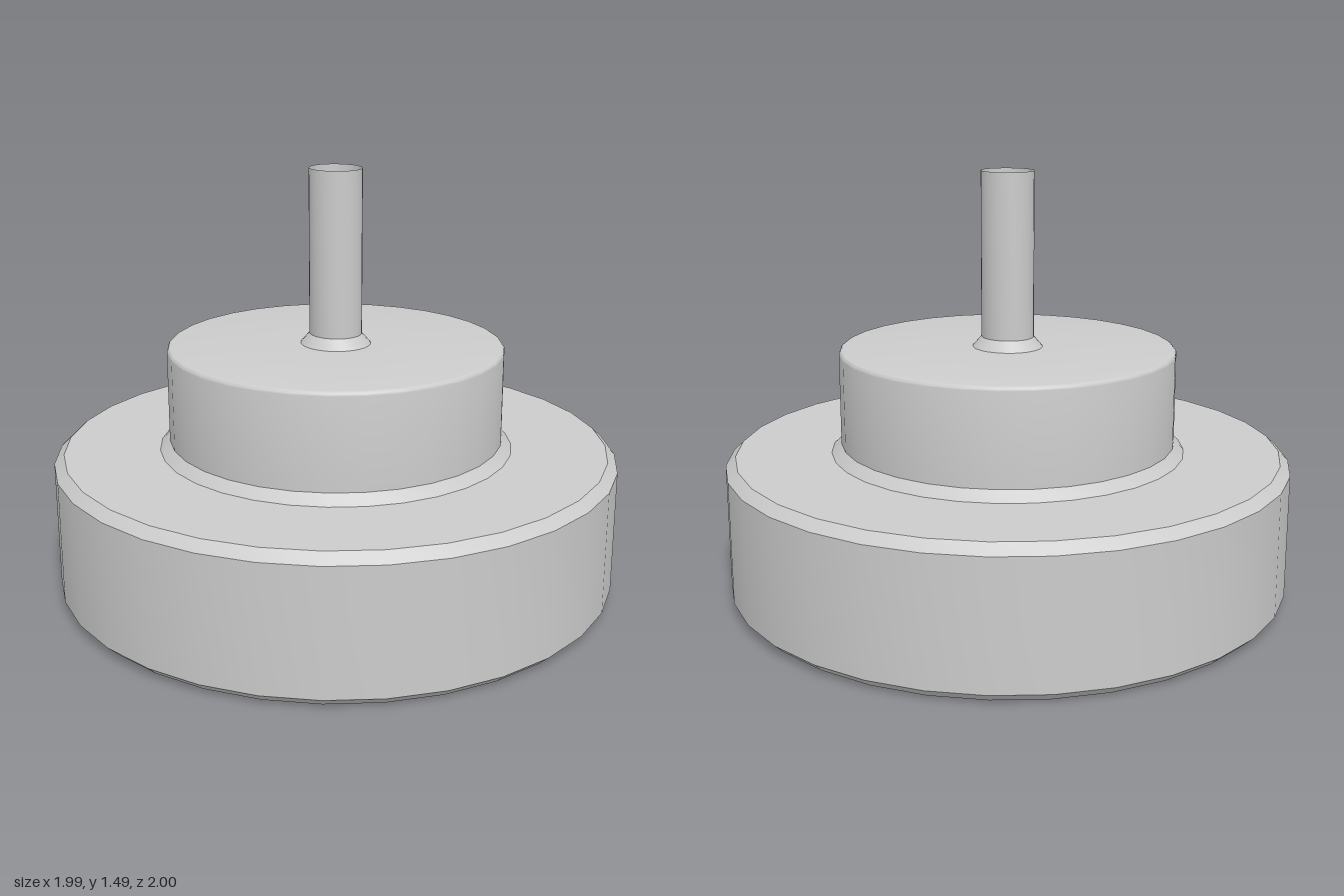
import * as THREE from 'three';
import { toCreasedNormals } from 'three/addons/utils/BufferGeometryUtils.js';

const SIDES = 32;
const material = new THREE.MeshStandardMaterial({ color: 0xcccccc, side: THREE.DoubleSide });

// Turned part from [radius, height] points, very slightly narrower across x than z
function turned(name, profile) {
  const geometry = new THREE.LatheGeometry(profile.map(([r, y]) => new THREE.Vector2(r, y)), SIDES);
  const pos = geometry.attributes.position;
  for (let i = 0; i < pos.count; i++) {
    const r = Math.hypot(pos.getX(i), pos.getZ(i));
    if (r > 0.01) pos.setX(i, pos.getX(i) * (r - 0.005) / r);
  }
  const mesh = new THREE.Mesh(toCreasedNormals(geometry, 0.5), material);
  mesh.name = name;
  return mesh;
}

export function createModel() {
  const model = new THREE.Group();
  model.name = 'steppedKnob';

  // Wide base with chamfered rims
  model.add(turned('base', [
    [0, 0], [0.965, 0], [1, 0.033], [1, 0.47], [0.965, 0.503], [0.63, 0.503],
  ]));

  // Hub: sloped foot, straight wall, small rounded top edge
  const hub = [[0.63, 0.503], [0.595, 0.537]];
  for (let i = 0; i <= 4; i++) {
    const a = (i / 4) * Math.PI / 2;
    hub.push([0.58 + 0.015 * Math.cos(a), 0.857 + 0.015 * Math.sin(a)]);
  }
  hub.push([0.126, 0.872]);
  model.add(turned('hub', hub));

  // Hollow stem with a sloped collar, open at the top
  model.add(turned('stem', [[0.126, 0.872], [0.095, 0.908], [0.095, 1.486]]));

  return model;
}
